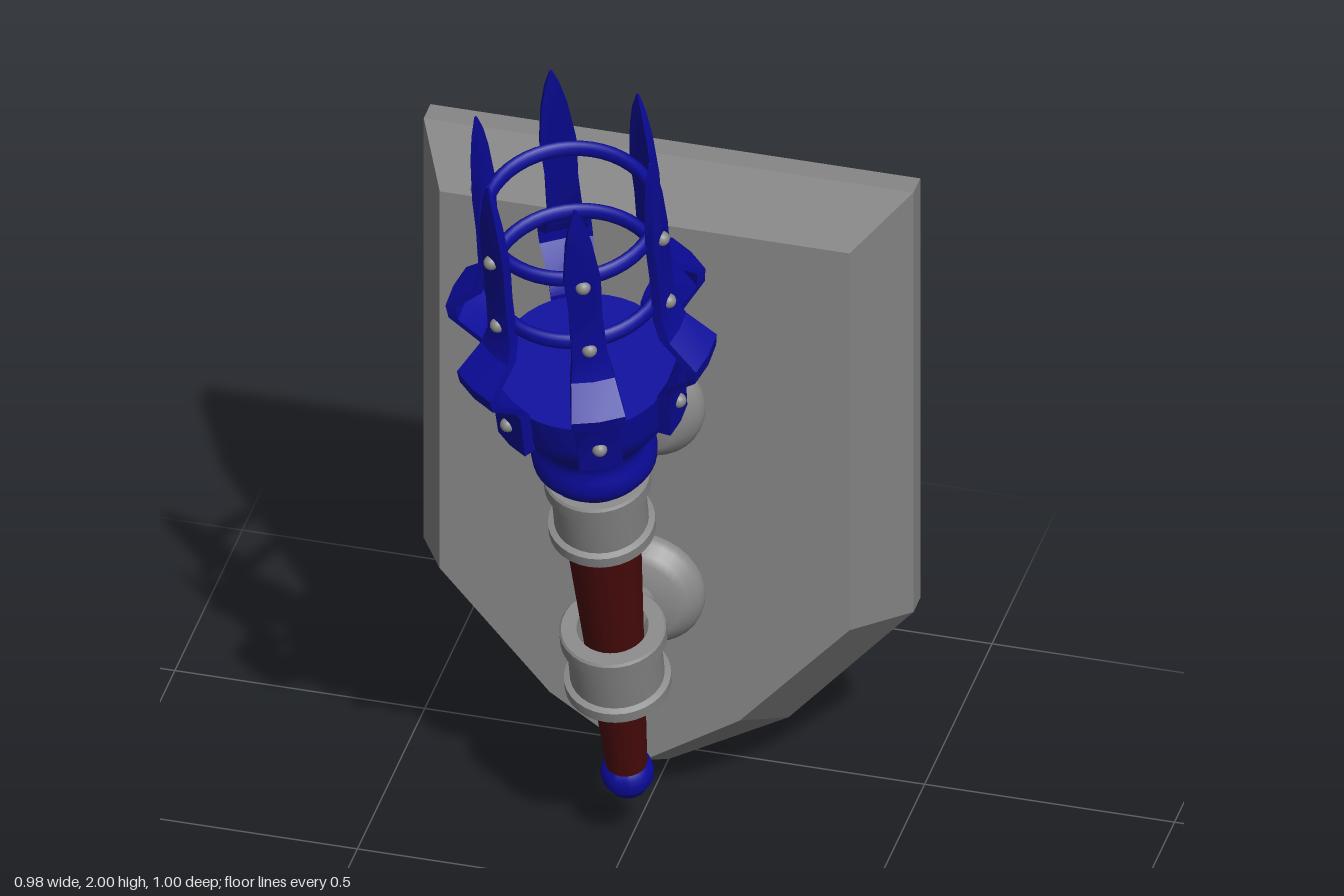
import * as THREE from 'three';
import { toCreasedNormals } from 'three/addons/utils/BufferGeometryUtils.js';

const grey = new THREE.MeshStandardMaterial({ color: 0x888888 });
const greySheet = new THREE.MeshStandardMaterial({ color: 0x868686, side: THREE.DoubleSide });
const blue = new THREE.MeshStandardMaterial({ color: 0x0b0b9c });
const red = new THREE.MeshStandardMaterial({ color: 0x4c0b0b });

const TILT = THREE.MathUtils.degToRad(15);

function add(parent, name, geometry, material) {
  const mesh = new THREE.Mesh(geometry, material);
  mesh.name = name;
  parent.add(mesh);
  return mesh;
}

// Turned part; profile runs bottom to top as [radius, height]
function turned(profile, sides = 32) {
  const points = profile.map(([r, y]) => new THREE.Vector2(r, y));
  return toCreasedNormals(new THREE.LatheGeometry(points, sides), 0.6);
}

// Joins equal-length loops (counter-clockwise seen from the end they run towards)
function skin(loops, caps) {
  const pos = [];
  const tri = (a, b, c) => pos.push(...a, ...b, ...c);
  const n = loops[0].length;
  for (let k = 0; k + 1 < loops.length; k++) {
    for (let i = 0; i < n; i++) {
      const j = (i + 1) % n, A = loops[k], B = loops[k + 1];
      tri(A[i], A[j], B[j]);
      tri(A[i], B[j], B[i]);
    }
  }
  const first = loops[0], last = loops[loops.length - 1];
  for (let i = 1; i + 1 < n; i++) {
    if (caps.start) tri(first[0], first[i + 1], first[i]);
    if (caps.end) tri(last[0], last[i], last[i + 1]);
  }
  const g = new THREE.BufferGeometry();
  g.setAttribute('position', new THREE.Float32BufferAttribute(pos, 3));
  g.computeVertexNormals();
  return g;
}

// Shield-shaped backing plate, hollow and open at the rear
function makePlaque() {
  const loop = (half, z) => [
    ...half.map(([x, y]) => [x, y, z]),
    ...half.slice(1).reverse().map(([x, y]) => [-x, y, z]),
  ];
  const outer = [[0, 0], [0.24, 0.14], [0.49, 0.43], [0.49, 1.41]];
  const inner = [[0, 0.115], [0.19, 0.24], [0.41, 0.49], [0.41, 1.37]];
  return skin([loop(outer, -0.505), loop(outer, -0.455), loop(inner, -0.277)], { end: true });
}

// Riveted strap that kinks outwards, then rises to a spike
// Rows are [distance from axis, height, width, thickness]
function makeProng() {
  const rows = [
    [0.180, 1.155, 0.085, 0.026],
    [0.185, 1.265, 0.090, 0.022],
    [0.196, 1.288, 0.090, 0.020],
    [0.254, 1.345, 0.105, 0.020],
    [0.258, 1.378, 0.105, 0.020],
    [0.201, 1.432, 0.085, 0.020],
    [0.186, 1.475, 0.070, 0.020],
    [0.185, 1.600, 0.064, 0.018],
    [0.185, 1.700, 0.072, 0.018],
    [0.185, 1.800, 0.052, 0.016],
    [0.184, 1.860, 0.030, 0.012],
    [0.183, 1.905, 0.004, 0.004],
  ];
  // Section is a flat bar, gently arched across its width
  const loops = rows.map(([r, y, w, t]) => {
    const h = w / 2, arch = w * 0.05;
    return [
      [r + t / 2 - arch, y, h], [r + t / 2, y, 0], [r + t / 2 - arch, y, -h],
      [r - t / 2 - arch, y, -h], [r - t / 2, y, 0], [r - t / 2 - arch, y, h],
    ];
  });
  return toCreasedNormals(skin(loops, { start: true, end: true }), 0.4);
}

export function createModel() {
  const model = new THREE.Group();
  model.name = 'wallTorch';

  add(model, 'plaque', makePlaque(), greySheet);

  // Wall mounts: bevelled foot and rod reaching to the clamp
  const foot = turned([[0, 0], [0.122, 0], [0.122, 0.012], [0.116, 0.022], [0.1, 0.042], [0.085, 0.052], [0, 0.052]]);
  [[0.957, 0.0], [0.522, -0.13]].forEach(([y, end]) => {
    const mount = new THREE.Group();
    mount.name = 'wallMount';
    mount.position.set(0, y, -0.277);
    mount.rotation.x = Math.PI / 2;
    add(mount, 'mountFoot', foot, grey);
    const length = end + 0.277;
    add(mount, 'mountRod', new THREE.CylinderGeometry(0.035, 0.035, length, 24), grey).position.y = length / 2;
    model.add(mount);
  });

  // Everything on the leaning torch is built along its own upright axis
  const torch = new THREE.Group();
  torch.name = 'torch';
  torch.position.set(0, 0.12, -0.163);
  torch.rotation.x = TILT;
  model.add(torch);

  const handle = add(torch, 'handle', new THREE.CylinderGeometry(0.086, 0.04, 0.93, 24), red);
  handle.position.y = 0.535;

  add(torch, 'pommel', turned([
    [0, -0.004], [0.022, 0], [0.036, 0.015], [0.04, 0.03], [0.05, 0.04],
    [0.052, 0.058], [0.048, 0.075], [0.04, 0.085], [0, 0.085],
  ]), blue);

  // Clamps with a flange at each end
  const clamp = turned([
    [0.07, -0.085], [0.1, -0.085], [0.104, -0.08], [0.104, -0.056], [0.092, -0.052],
    [0.092, 0.046], [0.104, 0.05], [0.104, 0.08], [0.1, 0.085], [0.07, 0.085],
  ]);
  [0.395, 0.85].forEach((y) => { add(torch, 'clamp', clamp, grey).position.y = y; });

  // Cup with a rounded collar under it
  add(torch, 'cup', turned([
    [0, 0.955], [0.085, 0.955], [0.108, 0.965], [0.121, 0.985], [0.123, 1.005], [0.117, 1.03],
    [0.11, 1.045], [0.112, 1.065], [0.127, 1.095], [0.15, 1.125], [0.166, 1.15], [0.172, 1.18],
    [0.175, 1.255], [0, 1.255],
  ], 40), blue);

  // Rings of the crown
  [1.507, 1.69].forEach((y) => {
    const ring = add(torch, 'crownRing', new THREE.TorusGeometry(0.168, 0.013, 10, 48), blue);
    ring.rotation.x = Math.PI / 2;
    ring.scale.z = 1.4;
    ring.position.y = y;
  });

  // Six prongs, each with three rivets
  const prong = makeProng();
  const rivet = new THREE.SphereGeometry(0.015, 14, 10);
  for (let i = 0; i < 6; i++) {
    const arm = new THREE.Group();
    arm.name = 'prong';
    arm.rotation.y = -THREE.MathUtils.degToRad(8 + 60 * i);
    add(arm, 'prongStrap', prong, blue);
    [[0.193, 1.215], [0.193, 1.507], [0.193, 1.69]].forEach(([r, y]) => {
      add(arm, 'rivet', rivet, grey).position.set(r, y, 0);
    });
    torch.add(arm);
  }
  return model;
}
